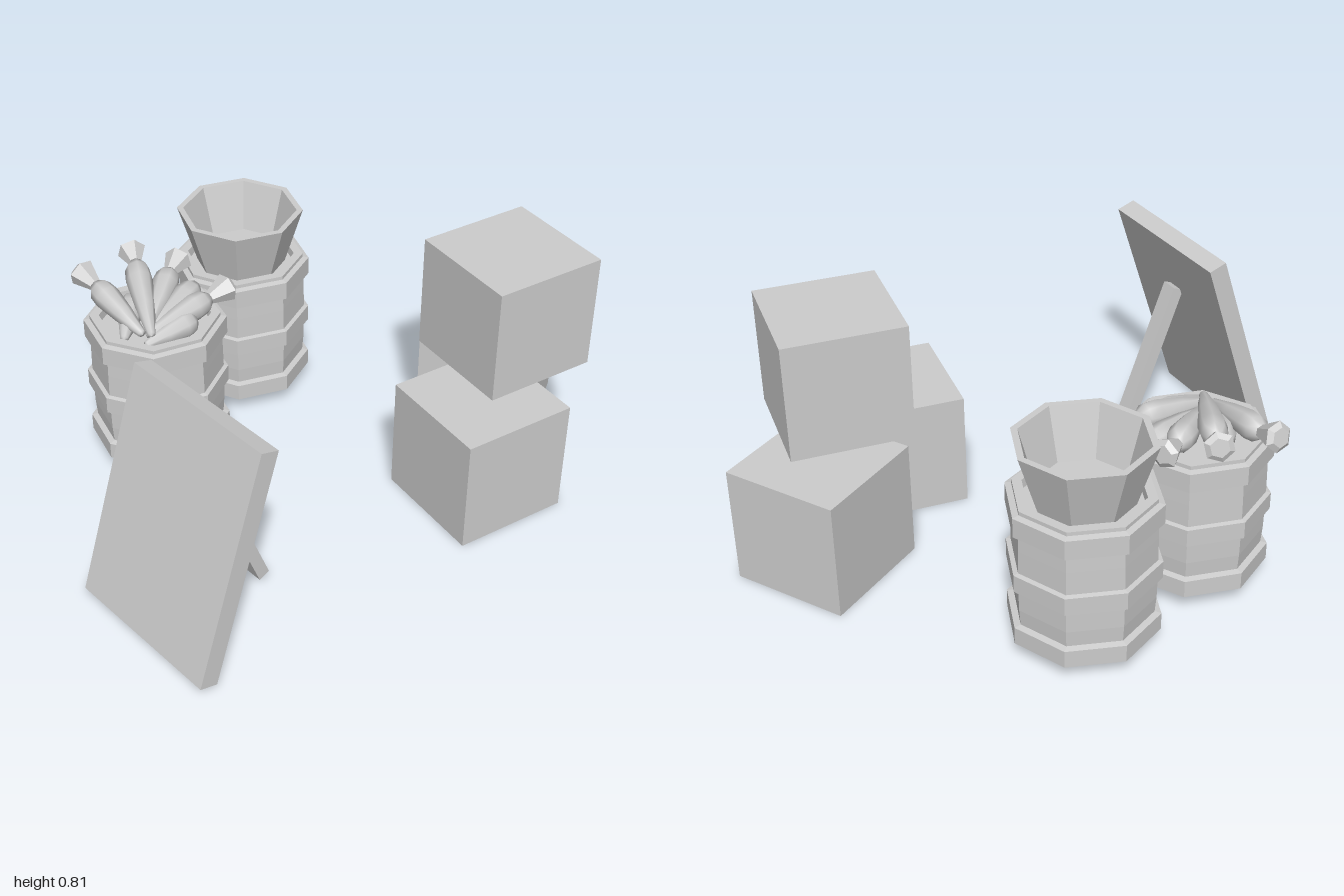
import * as THREE from 'three';

const V = (x, y, z) => new THREE.Vector3(x, y, z);

export function createModel() {
  const model = new THREE.Group();
  const grey = new THREE.MeshStandardMaterial({ color: 0xcccccc });
  grey.name = 'light grey';

  const add = (parent, name, geometry, x = 0, y = 0, z = 0) => {
    const mesh = new THREE.Mesh(geometry, grey);
    mesh.name = name;
    mesh.position.set(x, y, z);
    parent.add(mesh);
    return mesh;
  };
  const group = (name, x, y, z, turn = 0) => {
    const g = new THREE.Group();
    g.name = name;
    g.position.set(x, y, z);
    g.rotation.y = turn;
    model.add(g);
    return g;
  };
  // Faceted solid of revolution; the profile runs from bottom to top
  const turned = (profile, sides) => {
    const g = new THREE.LatheGeometry(profile.map(p => new THREE.Vector2(...p)), sides).toNonIndexed();
    g.computeVertexNormals();
    return g;
  };

  // Three stacked crates
  const size = 0.407;
  [['frontCrate', 0.563, 0, -0.285, -0.46],
   ['backCrate', 0.368, 0, -0.757, 0.22],
   ['topCrate', 0.51, size, -0.553, -0.46]].forEach(([name, x, y, z, turn]) => {
    add(model, name, new THREE.BoxGeometry(size, size, size), x, y + size / 2, z).rotation.y = turn;
  });

  // Leaning sign board
  const board = add(model, 'signBoard', new THREE.BoxGeometry(0.58, 0.8, 0.066), 0.059, 0.402, 0.755);
  board.rotation.set(-0.318, -0.297, 0, 'YXZ');
  // Rear prop of the sign
  const prop = add(model, 'signProp', new THREE.BoxGeometry(0.062, 0.59, 0.042), 0.125, 0.3, 0.562);
  prop.rotation.set(0.37, -0.297, 0, 'YXZ');

  // Eight-sided barrels with raised hoops
  const barrel = (name, x, z, turn) => {
    const b = group(name, x, 0, z, turn);
    add(b, 'barrelBody', turned([[0, 0.04], [0.215, 0.04], [0.226, 0.18], [0.228, 0.29], [0.226, 0.4],
      [0.222, 0.54], [0.19, 0.54], [0.187, 0.51], [0, 0.51]], 8));
    [[0.06, 0.12], [0.257, 0.317], [0.457, 0.523]].forEach(([lo, hi]) => {
      add(b, 'barrelHoop', turned([[0.215, lo - 0.006], [0.243, lo], [0.243, hi], [0.215, hi + 0.006]], 8));
    });
    return b;
  };
  barrel('carrotBarrel', -0.518, 0.035, THREE.MathUtils.degToRad(34));
  const rear = barrel('bucketBarrel', -0.485, -0.45, THREE.MathUtils.degToRad(29));

  // Flared open bucket on the rear barrel
  add(rear, 'bucket', turned([[0, 0.511], [0.158, 0.511], [0.222, 0.718], [0.2, 0.718], [0.152, 0.545], [0, 0.545]], 8));

  // Carrots: tapered root from tip to crown, with a flared leaf stub
  const carrot = (tip, crown, leafEnd) => {
    const dir = crown.clone().sub(tip);
    const len = dir.length();
    const c = group('carrot', tip.x, tip.y, tip.z);
    c.quaternion.setFromUnitVectors(V(0, 1, 0), dir.normalize());
    const root = [[0, 0], [0.014, 0.02], [0.034, 0.4], [0.046, 0.75], [0.042, 0.9], [0.022, 1], [0, 1]];
    add(c, 'carrotRoot', new THREE.LatheGeometry(root.map(([r, t]) => new THREE.Vector2(r, t * len)), 8));
    if (!leafEnd) return;
    const leafDir = leafEnd.clone().sub(crown);
    const leafLen = leafDir.length();
    const leaf = group('carrotLeaves', crown.x, crown.y, crown.z);
    leaf.quaternion.setFromUnitVectors(V(0, 1, 0), leafDir.normalize());
    add(leaf, 'leafStub', turned([[0, -0.01], [0.018, -0.01], [0.05, leafLen * 0.85], [0.032, leafLen], [0, leafLen]], 6));
  };
  carrot(V(-0.47, 0.55, 0.17), V(-0.735, 0.6, 0.07), V(-0.82, 0.625, 0.05));
  carrot(V(-0.43, 0.56, 0.175), V(-0.68, 0.625, -0.085), V(-0.735, 0.64, -0.135));
  carrot(V(-0.48, 0.56, 0.11), V(-0.58, 0.59, -0.145), V(-0.595, 0.6, -0.23));
  carrot(V(-0.455, 0.55, 0.17), V(-0.385, 0.575, -0.095), V(-0.355, 0.59, -0.185));
  // Loose carrots underneath
  carrot(V(-0.47, 0.54, 0.14), V(-0.485, 0.555, -0.16));
  carrot(V(-0.52, 0.535, 0.21), V(-0.63, 0.545, 0.0));
  carrot(V(-0.44, 0.535, 0.2), V(-0.38, 0.545, 0.0));

  return model;
}
